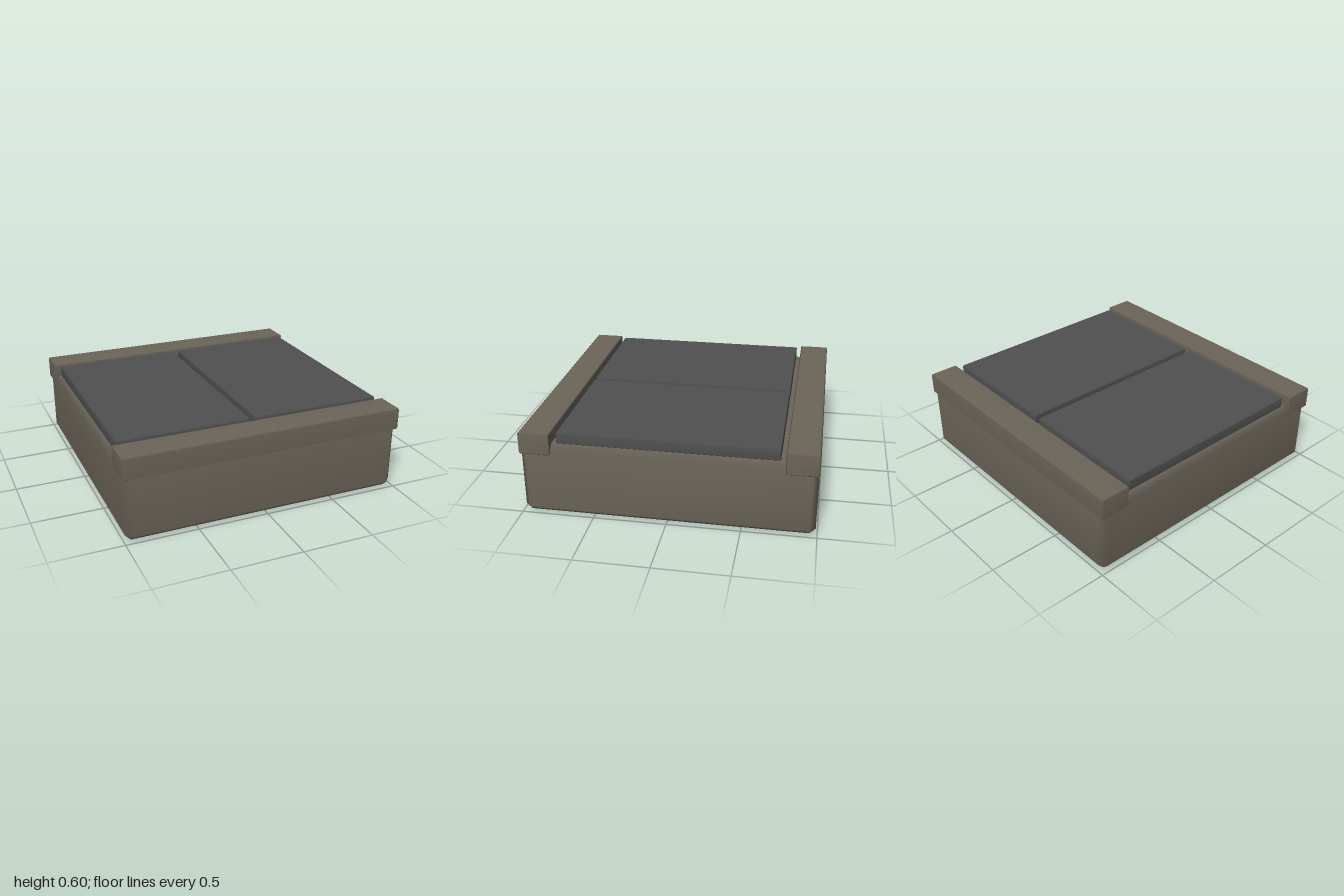
import * as THREE from 'three';
import { ConvexGeometry } from 'three/addons/geometries/ConvexGeometry.js';
import { mergeVertices } from 'three/addons/utils/BufferGeometryUtils.js';

// Box with every edge chamfered by c and softly blended normals
function chamferBox(w, h, d, c) {
  const points = [];
  for (const sx of [-1, 1]) for (const sy of [-1, 1]) for (const sz of [-1, 1]) {
    for (let axis = 0; axis < 3; axis++) {
      const p = [w / 2 - c, h / 2 - c, d / 2 - c];
      p[axis] += c;
      points.push(new THREE.Vector3(sx * p[0], sy * p[1], sz * p[2]));
    }
  }
  const geometry = new ConvexGeometry(points);
  geometry.deleteAttribute('normal');
  const smooth = mergeVertices(geometry, 1e-4);
  smooth.computeVertexNormals();
  return smooth;
}

export function createModel() {
  const group = new THREE.Group();
  const casing = new THREE.MeshStandardMaterial({ color: 0x6b6559 });
  const dark = new THREE.MeshStandardMaterial({ color: 0x505050 });

  const add = (name, size, chamfer, position, material) => {
    const mesh = new THREE.Mesh(chamferBox(...size, chamfer), material);
    mesh.name = name;
    mesh.position.set(...position);
    group.add(mesh);
  };

  // Main casing with broad chamfers
  add('body', [1.976, 0.52, 1.976], 0.04, [0, 0.26, 0], casing);

  for (const s of [-1, 1]) {
    // Raised rails along the front and back
    add(s > 0 ? 'frontRail' : 'backRail', [2, 0.155, 0.215], 0.008, [0, 0.5225, s * 0.8825], casing);
    // Twin top panels separated by a narrow gap
    add(s > 0 ? 'leftPanel' : 'rightPanel', [0.94, 0.078, 1.48], 0.006, [s * 0.49, 0.561, 0], dark);
  }
  return group;
}
